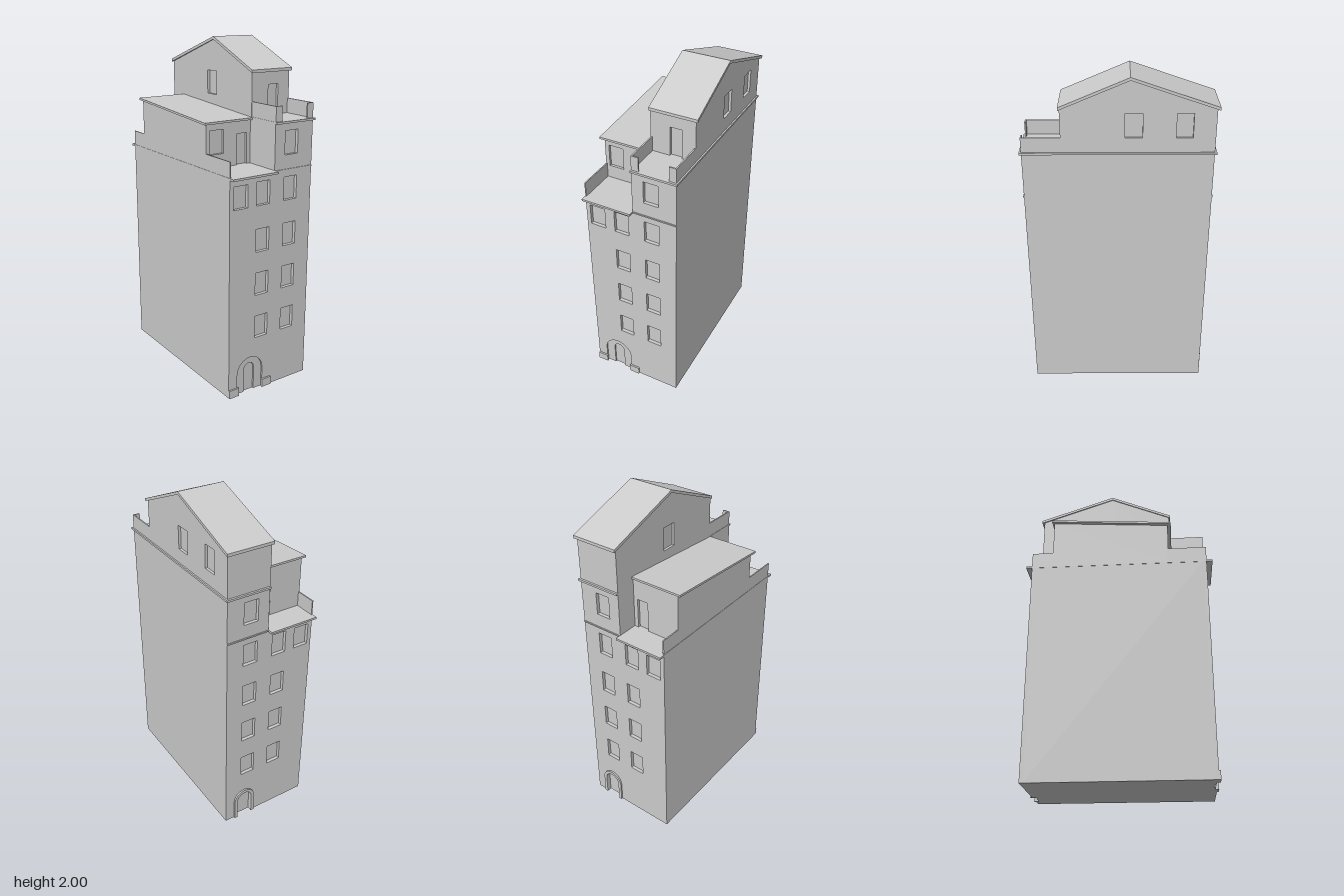
import * as THREE from 'three';

export function createModel() {
  const model = new THREE.Group();
  const mat = new THREE.MeshStandardMaterial({ color: 0xcccccc, flatShading: true });
  const FRONT = 0, BACK = Math.PI, LEFT = Math.PI / 2, RIGHT = -Math.PI / 2;

  function add(name, geo) {
    const mesh = new THREE.Mesh(geo, mat);
    mesh.name = name;
    model.add(mesh);
  }

  // box from its minimum and maximum corners
  function box(name, x0, x1, y0, y1, z0, z1) {
    const geo = new THREE.BoxGeometry(x1 - x0, y1 - y0, z1 - z0);
    geo.translate((x0 + x1) / 2, (y0 + y1) / 2, (z0 + z1) / 2);
    add(name, geo);
  }

  // outline extruded outwards from distance d0 to d1 along the facing direction
  function slab(name, points, d0, d1, facing, holes = []) {
    const shape = new THREE.Shape(points.map(([u, v]) => new THREE.Vector2(u, v)));
    for (const [u0, u1, v0, v1] of holes) {
      shape.holes.push(new THREE.Path([[u0, v0], [u0, v1], [u1, v1], [u1, v0]]
        .map(([u, v]) => new THREE.Vector2(u, v))));
    }
    const geo = new THREE.ExtrudeGeometry(shape, { depth: d1 - d0, bevelEnabled: false });
    geo.translate(0, 0, d0);
    geo.rotateY(facing);
    add(name, geo);
  }

  // arch outline, running from its left foot over the top to its right foot
  function arch(c, w, top) {
    const pts = [[c - w, 0]];
    for (let i = 0; i <= 12; i++) {
      const a = Math.PI * (1 - i / 12);
      pts.push([c + w * Math.cos(a), top - w + w * Math.sin(a)]);
    }
    pts.push([c + w, 0]);
    return pts;
  }
  const archRing = (outer, inner) => [...outer, ...[...inner].reverse()];
  const doorway = (u0, u1, v0, v1) => [[u0, v0], [u0, v1], [u1, v1], [u1, v0]];

  // main tower core behind the two facades
  box('towerCore', -0.28, 0.285, 0, 1.305, -0.505, 0.505);
  box('tallCore', 0.02, 0.285, 1.3, 1.575, -0.505, 0.505);

  // window openings in front-facing coordinates
  const windows = [];
  for (const y of [0.335, 0.6, 0.86, 1.13]) {
    windows.push([0.09, 0.18, y, y + 0.135], [-0.1, -0.01, y, y + 0.135]);
  }
  windows.push([0.09, 0.18, 1.39, 1.525], [-0.255, -0.16, 1.13, 1.26]);

  // front facade with a stepped arched entrance
  const frontArch = arch(-0.13, 0.09, 0.22);
  slab('frontFacade', [[-0.28, 0], ...frontArch, [0.285, 0], [0.285, 1.575],
    [0.02, 1.575], [0.02, 1.305], [-0.28, 1.305]], 0.505, 0.525, FRONT, windows);
  slab('frontEntranceSurround', archRing(frontArch, arch(-0.13, 0.035, 0.18)), 0.505, 0.515, FRONT);
  box('frontPlinth', -0.28, -0.215, 0, 0.05, 0.52, 0.535);
  box('frontPlinth', -0.045, 0.02, 0, 0.05, 0.52, 0.535);

  // rear facade with a framed arched entrance
  const backArch = arch(-0.155, 0.05, 0.18);
  slab('rearFacade', [[-0.285, 0], ...backArch, [0.28, 0], [0.28, 1.305],
    [-0.02, 1.305], [-0.02, 1.575], [-0.285, 1.575]], 0.505, 0.525, BACK,
    windows.map(([a, b, c, d]) => [-b, -a, c, d]));
  slab('rearEntranceFrame', archRing(arch(-0.155, 0.07, 0.2), backArch), 0.52, 0.535, BACK);

  // ledges, string courses, cornice and terrace parapets
  box('terraceLedge', -0.282, 0.022, 1.3, 1.312, -0.56, 0.56);
  for (const s of [-1, 1]) {
    const span = (a, b) => (s > 0 ? [a, b] : [-b, -a]);
    box('stringCourse', 0.02, 0.285, 1.302, 1.31, ...span(0.52, 0.53));
  }
  box('lowerParapet', -0.28, -0.273, 1.3, 1.4, 0.29, 0.525);
  box('lowerParapet', -0.28, -0.273, 1.3, 1.4, -0.525, -0.39);
  box('cornice', 0.02, 0.294, 1.566, 1.578, -0.537, 0.537);
  for (const [a, b, c, d] of [[0.022, 0.03, 0.022, 0.066], [0.277, 0.285, 0.243, 0.285]]) {
    box('upperParapetSide', a, b, 1.57, 1.663, 0.3, 0.525);
    box('upperParapetReturn', c, d, 1.57, 1.663, 0.517, 0.525);
  }

  // low penthouse with front window, two doors and a lean-to roof (u = -z)
  slab('lowPenthouseCore', [[-0.285, 1.305], [0.385, 1.305], [0.385, 1.612], [-0.285, 1.566]],
    -0.28, 0.02, LEFT);
  slab('lowPenthouseFront', [[-0.28, 1.305], ...doorway(-0.075, -0.005, 1.305, 1.49),
    [0.02, 1.305], [0.02, 1.565], [-0.28, 1.565]], 0.285, 0.3, FRONT, [[-0.255, -0.165, 1.39, 1.525]]);
  slab('lowPenthouseRear', [[-0.02, 1.305], ...doorway(0.005, 0.075, 1.305, 1.49),
    [0.28, 1.305], [0.28, 1.612], [-0.02, 1.612]], 0.385, 0.4, BACK);
  slab('lowRoof', [[-0.32, 1.563], [0.412, 1.613], [0.412, 1.625], [-0.32, 1.575]], -0.3, 0.022, LEFT);

  // tall penthouse: gabled core, recessed windows and front door
  const gable = (front) => [[front, 1.57], [0.525, 1.57], [0.525, 1.823], [0.065, 1.983], [front, 1.823]];
  slab('tallPenthouseCore', gable(-0.295), 0.035, 0.27, LEFT);
  slab('tallPenthouseLeftWall', gable(-0.31), 0.27, 0.285, LEFT,
    [[0.038, 0.132, 1.662, 1.8], [0.313, 0.403, 1.662, 1.8]]);
  slab('tallPenthouseRightWall', gable(-0.31).map(([u, v]) => [-u, v]).reverse(), -0.035, -0.02, RIGHT,
    [[-0.132, -0.038, 1.662, 1.8]]);
  slab('tallPenthouseFront', [[0.02, 1.57], ...doorway(0.135, 0.205, 1.57, 1.75),
    [0.285, 1.57], [0.285, 1.823], [0.02, 1.823]], 0.295, 0.31, FRONT);

  // gabled roof with slightly projecting eaves
  slab('gabledRoof', [[-0.318, 1.82], [0.065, 1.983], [0.54, 1.82], [0.54, 1.837],
    [0.065, 2], [-0.318, 1.837]], 0.014, 0.297, LEFT);

  return model;
}
